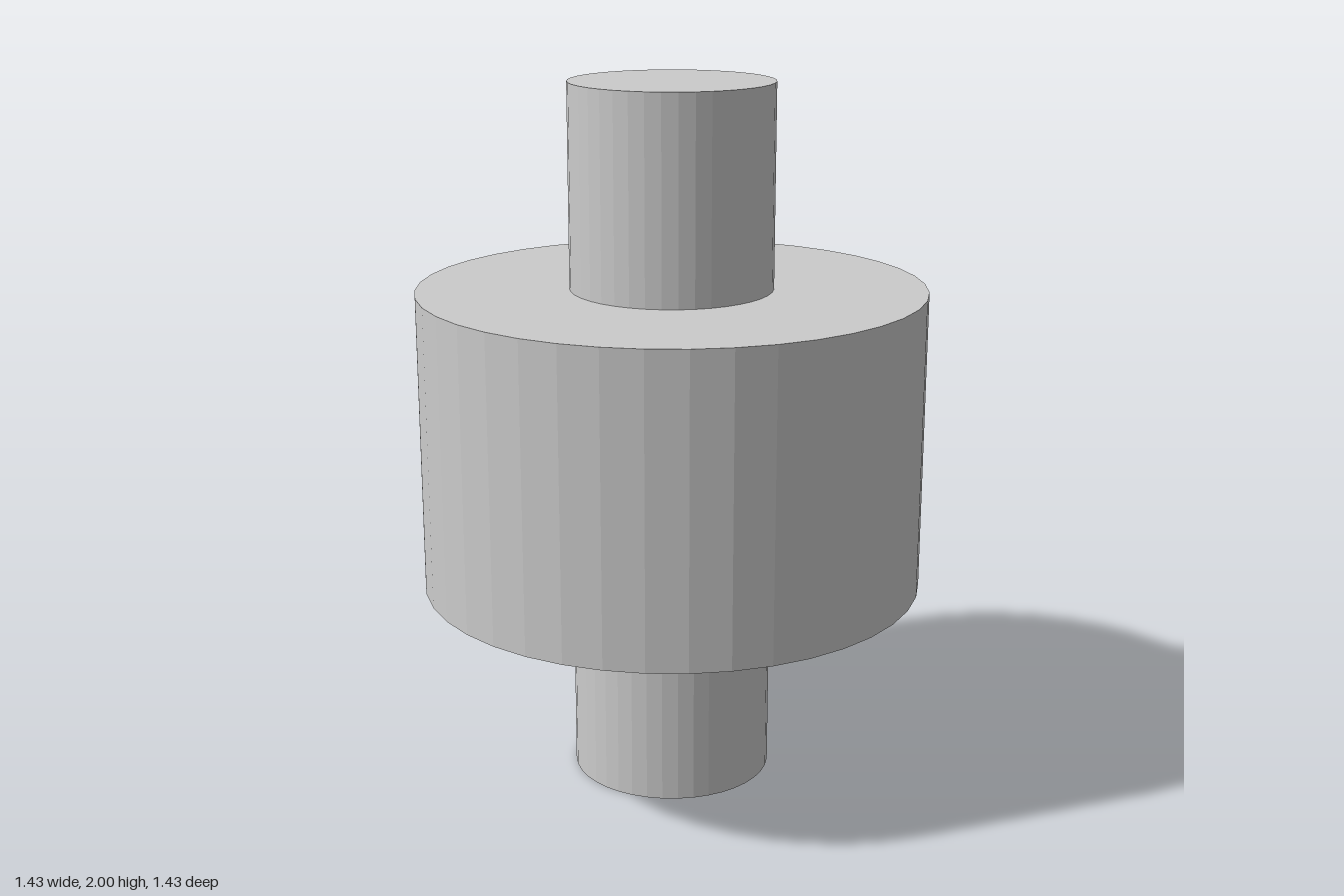
import * as THREE from 'three';

const material = new THREE.MeshStandardMaterial({ color: 0xcccccc, flatShading: true });

// Upright faceted cylinder spanning two heights
function cylinder(name, radius, bottom, top, sides) {
  const geometry = new THREE.CylinderGeometry(radius, radius, top - bottom, sides);
  const mesh = new THREE.Mesh(geometry, material);
  mesh.name = name;
  mesh.position.y = (bottom + top) / 2;
  return mesh;
}

export function createModel() {
  const group = new THREE.Group();
  group.name = 'rollerOnShaft';

  // Wide roller around the middle
  group.add(cylinder('roller', 0.713, 0.575, 1.43, 40));

  // Thin shaft passing through it and sticking out at both ends
  group.add(cylinder('shaft', 0.285, 0, 2, 40));

  return group;
}
